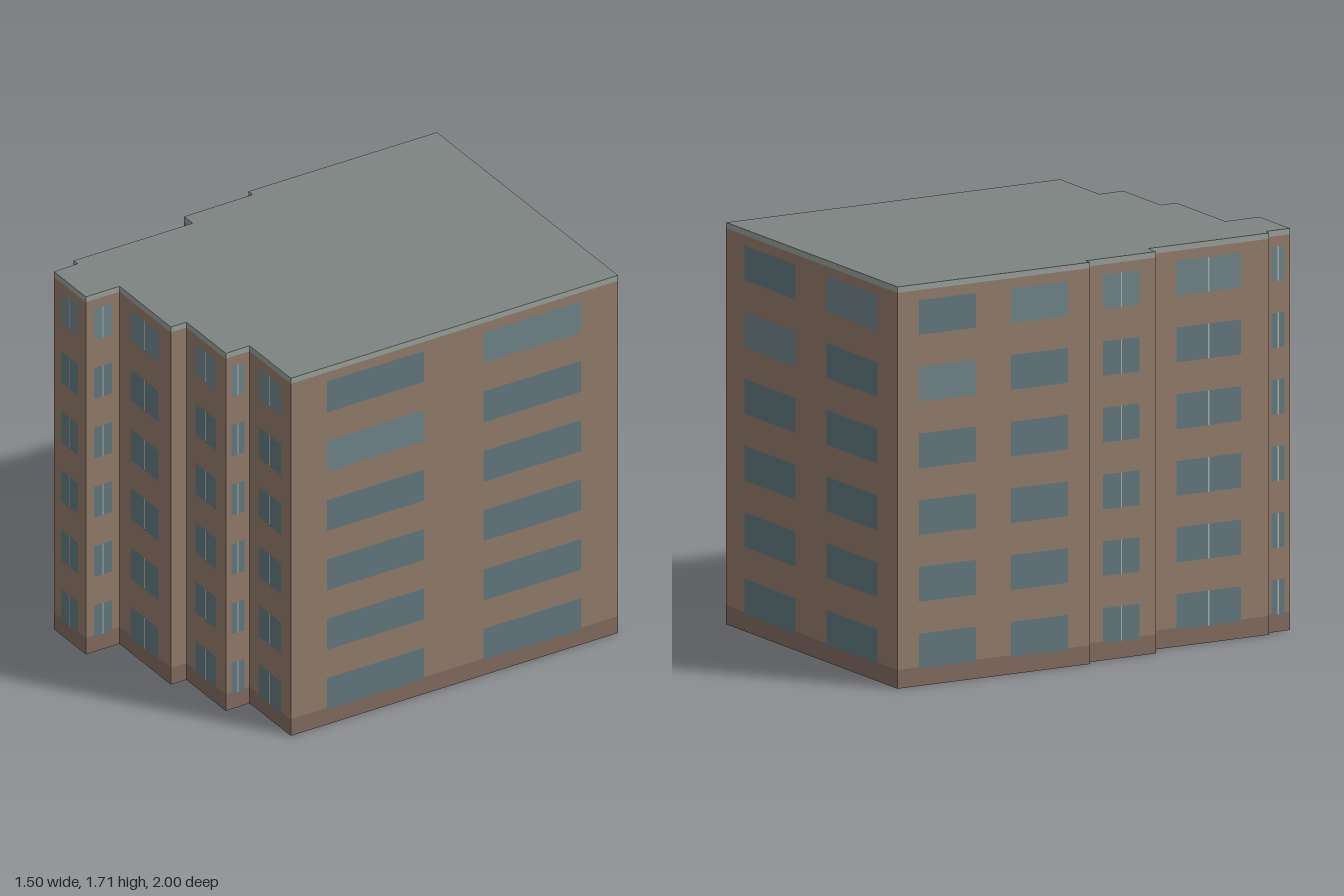
import * as THREE from 'three';

// Footprint corners (x, z), front-left to right, round the back, and up the other side
const footprint = [
  [-0.725, 0.97], [-0.477, 0.997], [-0.46, 0.832], [-0.06, 0.876], [-0.052, 0.8],
  [0.254, 0.833], [0.265, 0.716], [0.585, 0.75], [0.75, -0.85], [-0.655, -1.0],
  [-0.752, -0.08], [-0.72, -0.076], [-0.752, 0.26], [-0.686, 0.267], [-0.746, 0.848], [-0.716, 0.853],
];
const HEIGHT = 1.71, PLINTH = 0.08, BAND = 0.025;
const ROWS = 6, ROW_STEP = 0.284, FIRST_ROW = 0.148, WINDOW_HEIGHT = 0.148;

const paint = (color, side = THREE.FrontSide) => new THREE.MeshStandardMaterial({ color, side });
const mats = {
  wall: paint(0x937c6c, THREE.DoubleSide),
  plinth: paint(0x836b60),
  band: paint(0x9aa19c),
  roof: paint(0x7c8481, THREE.DoubleSide),
  glass: paint(0x627980),
  paleGlass: paint(0x70858a),
  mullion: paint(0xb0b0a8),
};

// Flat panel in a wall's own frame: x along the wall, z outward
function panel(parent, name, mat, x, y, w, h, offset = 0) {
  const mesh = new THREE.Mesh(new THREE.PlaneGeometry(w, h), mat);
  mesh.name = name;
  mesh.position.set(x, y, offset);
  parent.add(mesh);
}

function buildWall([x0, z0], [x1, z1]) {
  const wall = new THREE.Group();
  wall.name = 'facade';
  wall.position.set(x0, 0, z0);
  wall.rotation.y = Math.atan2(z0 - z1, x1 - x0);
  const length = Math.hypot(x1 - x0, z1 - z0), mid = length / 2;

  panel(wall, 'wall', mats.wall, mid, HEIGHT / 2, length, HEIGHT);
  panel(wall, 'plinth', mats.plinth, mid, PLINTH / 2, length, PLINTH, 0.001);
  panel(wall, 'roofBand', mats.band, mid, HEIGHT - BAND / 2, length, BAND, 0.001);

  // Long walls carry two plain windows, medium ones a divided window, short ones none
  if (length < 0.1) return wall;
  const paired = length > 0.7;
  const centres = paired ? [0.258, 0.737] : [0.5];
  const width = length * (paired ? 0.297 : 0.53);
  for (let row = 0; row < ROWS; row++) {
    const y = FIRST_ROW + row * ROW_STEP;
    centres.forEach((c, i) => {
      const pale = row === (paired && i === 0 ? ROWS - 2 : ROWS - 1);
      panel(wall, 'window', pale ? mats.paleGlass : mats.glass, c * length, y, width, WINDOW_HEIGHT, 0.002);
      if (!paired) panel(wall, 'mullion', mats.mullion, c * length, y, 0.006, WINDOW_HEIGHT, 0.003);
    });
  }
  return wall;
}

export function createModel() {
  const building = new THREE.Group();
  building.name = 'apartmentBlock';

  footprint.forEach((p, i) => building.add(buildWall(p, footprint[(i + 1) % footprint.length])));

  // Flat roof; the underside stays open
  const outline = new THREE.Shape(footprint.map(([x, z]) => new THREE.Vector2(x, -z)));
  const roof = new THREE.Mesh(new THREE.ShapeGeometry(outline).rotateX(-Math.PI / 2), mats.roof);
  roof.name = 'roof';
  roof.position.y = HEIGHT;
  building.add(roof);

  return building;
}
